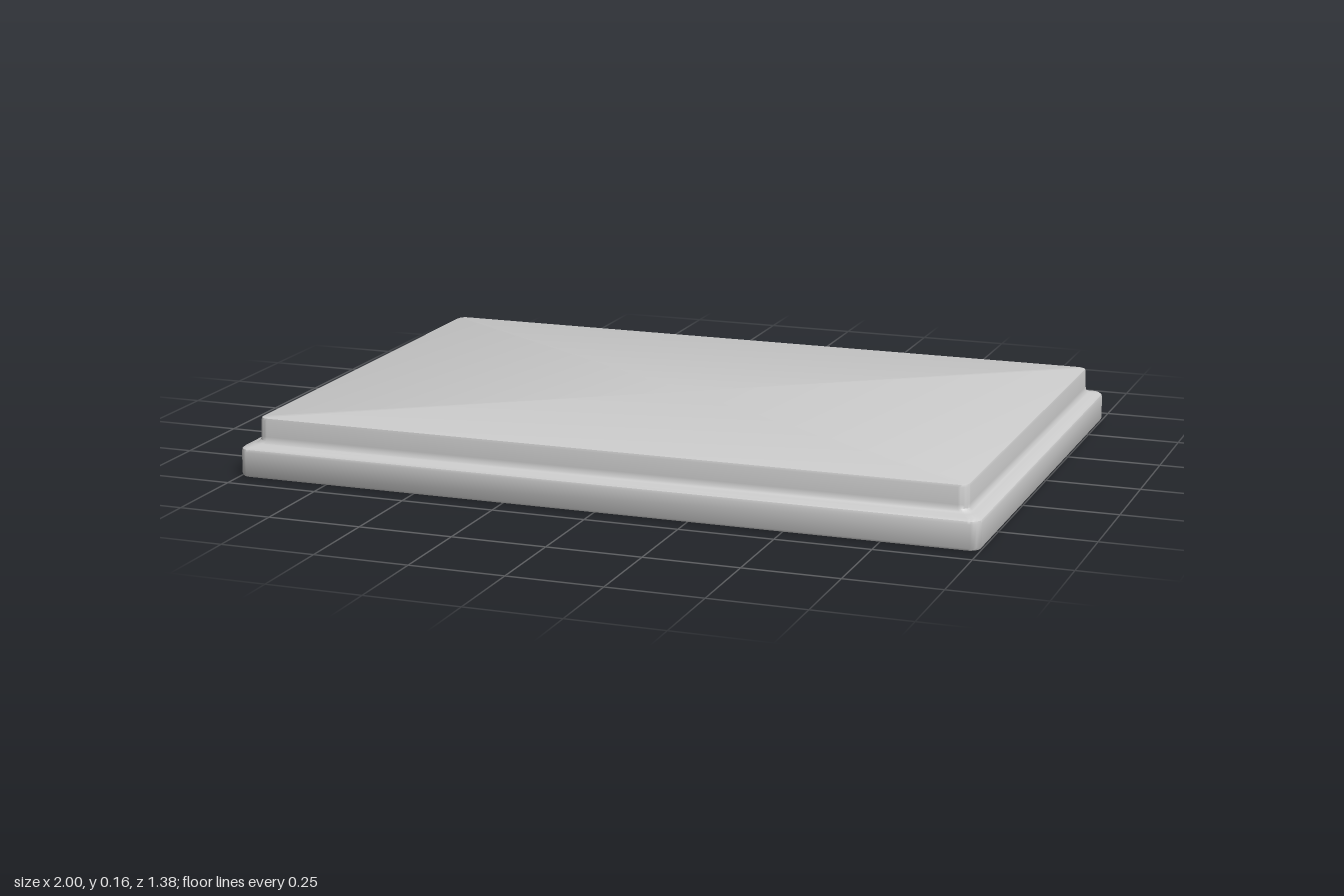
import * as THREE from 'three';
import { toCreasedNormals } from 'three/addons/utils/BufferGeometryUtils.js';

const HALF_X = 1, HALF_Z = 0.69, CORNER_STEPS = 6;

// Rounded-rectangle outline, inset from the slab's outer edge
function outline(inset, radius) {
  const points = [];
  for (let q = 0; q < 4; q++) {
    const sx = q === 0 || q === 3 ? 1 : -1;
    const sz = q < 2 ? 1 : -1;
    for (let i = 0; i <= CORNER_STEPS; i++) {
      const a = (q + i / CORNER_STEPS) * Math.PI / 2;
      points.push([
        sx * (HALF_X - inset - radius) + radius * Math.cos(a),
        sz * (HALF_Z - inset - radius) + radius * Math.sin(a),
      ]);
    }
  }
  return points;
}

// Skin stacked outlines [inset, y, corner radius] and close both ends
function loft(sections) {
  const positions = [], indices = [];
  const n = 4 * (CORNER_STEPS + 1);
  for (const [inset, y, radius] of sections) {
    for (const [x, z] of outline(inset, radius)) positions.push(x, y, z);
  }
  for (let j = 0; j < sections.length - 1; j++) {
    for (let i = 0; i < n; i++) {
      const a = j * n + i, b = j * n + (i + 1) % n;
      indices.push(a, a + n, b, b, a + n, b + n);
    }
  }
  const last = (sections.length - 1) * n;
  const bottom = positions.length / 3, top = bottom + 1;
  positions.push(0, sections[0][1], 0, 0, sections[sections.length - 1][1], 0);
  for (let i = 0; i < n; i++) {
    const k = (i + 1) % n;
    indices.push(bottom, i, k, top, last + k, last + i);
  }
  const geometry = new THREE.BufferGeometry();
  geometry.setAttribute('position', new THREE.Float32BufferAttribute(positions, 3));
  geometry.setIndex(indices);
  return toCreasedNormals(geometry, Math.PI / 5);
}

export function createModel() {
  const group = new THREE.Group();
  group.name = 'steppedSlab';
  const material = new THREE.MeshStandardMaterial({ color: 0xcccccc });

  // Wide base, soft shelf, filleted step and raised top in one skin
  const slab = new THREE.Mesh(loft([
    [0.009, 0, 0.022],
    [0.003, 0.002, 0.028],
    [0, 0.008, 0.03],
    [0, 0.068, 0.03],
    [0.002, 0.075, 0.028],
    [0.008, 0.08, 0.025],
    [0.026, 0.084, 0.025],
    [0.034, 0.087, 0.025],
    [0.039, 0.094, 0.025],
    [0.04, 0.104, 0.025],
    [0.041, 0.147, 0.025],
    [0.043, 0.153, 0.023],
    [0.049, 0.155, 0.018],
  ]), material);
  slab.name = 'slab';
  group.add(slab);
  return group;
}
